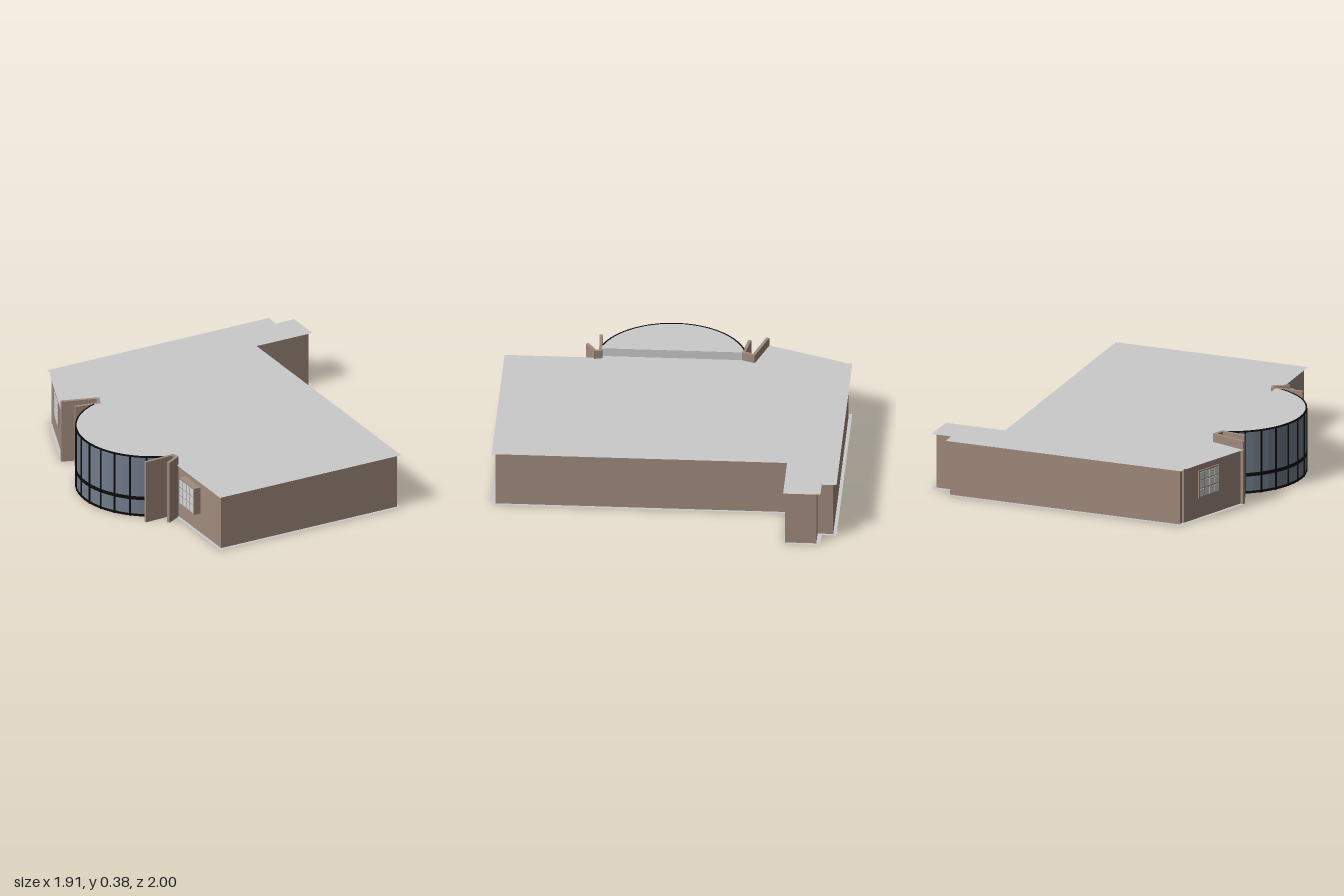
import * as THREE from 'three';

const material = (name, color, double) => {
  const m = new THREE.MeshStandardMaterial({ color });
  m.name = name;
  if (double) m.side = THREE.DoubleSide;
  return m;
};

export function createModel() {
  const model = new THREE.Group();
  model.name = 'building';
  const brick = material('brick', 0xa18b7e, true);
  const slab = material('slab grey', 0xcacaca, true);
  const glass = material('glass', 0x727c8c, true);
  const black = material('black frame', 0x0c0c0c);
  const pane = material('window pane', 0xd2d6d4);

  const add = (name, geometry, mat, parent = model) => {
    const mesh = new THREE.Mesh(geometry, mat);
    mesh.name = name;
    parent.add(mesh);
    return mesh;
  };

  // Flat sheet from an outline of [x, z] points
  const sheet = (name, points, y, mat) => {
    const shape = new THREE.Shape(points.map(([x, z]) => new THREE.Vector2(x, -z)));
    add(name, new THREE.ShapeGeometry(shape).rotateX(-Math.PI / 2).translate(0, y, 0), mat);
  };

  // Upright slab of thickness t between two [x, z] points
  const panel = (name, a, b, t, y0, y1, mat, extra = 0) => {
    const dx = b[0] - a[0], dz = b[1] - a[1];
    const g = new THREE.BoxGeometry(Math.hypot(dx, dz) + extra, y1 - y0, t);
    g.rotateY(-Math.atan2(dz, dx));
    g.translate((a[0] + b[0]) / 2, (y0 + y1) / 2, (a[1] + b[1]) / 2);
    add(name, g, mat);
  };

  // Open run of upright faces along a path
  const ribbon = (name, path, y0, y1, mat) => {
    const pos = [], index = [];
    path.slice(1).forEach((b, i) => {
      const a = path[i], k = i * 4;
      pos.push(a[0], y0, a[1], b[0], y0, b[1], b[0], y1, b[1], a[0], y1, a[1]);
      index.push(k, k + 1, k + 2, k, k + 2, k + 3);
    });
    const g = new THREE.BufferGeometry();
    g.setAttribute('position', new THREE.Float32BufferAttribute(pos, 3));
    g.setIndex(index);
    g.computeVertexNormals();
    add(name, g, mat);
  };

  const H = 0.33, TOP = 0.38;

  // Curved bay path, from its front end round to its back end
  const N = 22, R = 0.433, half = 1.222;
  const arc = [];
  for (let i = 0; i <= N; i++) {
    const t = half - (2 * half * i) / N;
    arc.push([-0.521 - R * Math.cos(t), 0.033 + R * Math.sin(t)]);
  }

  // Floor and roof sheets overhang the walls
  const outline = [
    [-0.61, -0.44], [-0.82, -0.5], [-0.64, -0.95], [-0.63, -0.95], [-0.63, -1],
    [0.83, -1], [0.83, -0.915], [0.95, -0.915], [0.95, -0.7], [0.583, -0.7],
    [0.583, 1], [-0.608, 1], [-0.608, 0.45], [-0.63, 0.44],
  ];
  sheet('roof', [...outline, [-0.63, -0.37]], H, slab);
  sheet('floor', [...outline, ...arc, [-0.63, -0.37]], 0, slab);

  // Outer walls
  ribbon('outerWalls', [
    [-0.61, -0.43], [-0.8, -0.492], [-0.622, -0.945], [-0.612, -0.945], [-0.612, -0.98],
    [0.812, -0.98], [0.812, -0.89], [0.93, -0.89], [0.93, -0.711], [0.566, -0.711],
    [0.566, 0.98], [-0.59, 0.98], [-0.59, 0.46],
  ], 0, H, brick);

  // Glazed bay with raised roof
  sheet('bayRoof', [[-0.63, 0.44], ...arc, [-0.63, -0.37]], TOP, slab);
  ribbon('bayRoofStep', [[-0.63, 0.44], [-0.63, -0.37]], H, TOP, slab);
  ribbon('bayGlass', arc, 0, TOP, glass);
  for (const [y0, y1] of [[0.002, 0.015], [0.105, 0.125], [0.373, 0.381]]) {
    for (let i = 0; i < N; i++) panel('bayRail', arc[i], arc[i + 1], 0.009, y0, y1, black, 0.002);
  }
  for (let i = 0; i <= N; i += 2) {
    const [x, z] = arc[i];
    const post = add('bayMullion', new THREE.BoxGeometry(0.01, TOP, 0.01), black);
    post.position.set(x, TOP / 2, z);
    post.rotation.y = -Math.atan2(z - 0.033, x + 0.521);
  }

  // Folded brick fins either side of the bay
  const fins = [
    [[-0.81, -0.5], [-0.61, -0.435], [-0.635, -0.375], [-0.775, -0.4]],
    [[-0.79, 0.455], [-0.61, 0.447], [-0.602, 0.48], [-0.68, 0.525]],
  ];
  for (const path of fins) {
    for (let i = 0; i < 3; i++) panel('bayFin', path[i], path[i + 1], 0.018, 0, TOP, brick, 0.012);
  }

  // Projecting windows: brick surround with a grid of panes facing local +z
  const addWindow = (x, z, angle, depth) => {
    const w = new THREE.Group();
    w.name = 'window';
    add('windowSurround', new THREE.BoxGeometry(0.175, 0.165, depth), brick, w)
      .position.z = depth / 2;
    for (let c = 0; c < 4; c++) {
      for (let r = 0; r < 3; r++) {
        add('windowPane', new THREE.BoxGeometry(0.035, 0.044, 0.004), pane, w)
          .position.set((c - 1.5) * 0.041, (r - 1) * 0.051, depth + 0.001);
      }
    }
    w.position.set(x, 0.203, z);
    w.rotation.y = angle;
    model.add(w);
  };
  addWindow(-0.59, 0.65, -Math.PI / 2, 0.042);
  addWindow(-0.697, -0.754, Math.atan2(-0.453, -0.178), 0.008);

  return model;
}
